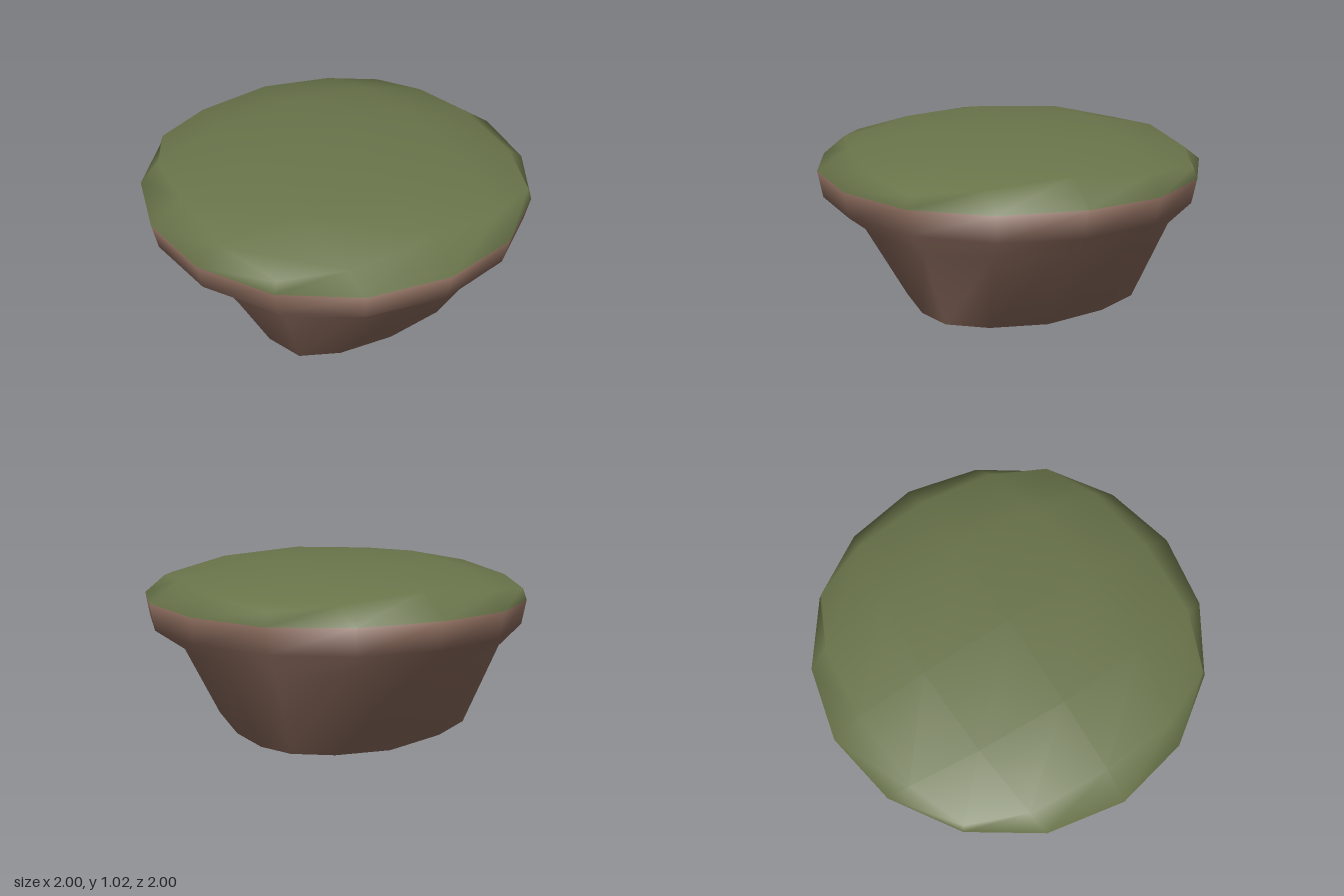
import * as THREE from 'three';

// Rings from bottom to top: r, y, square (0 = circle, 1 = rounded square), rise of y at the corners
const RINGS = [
  { r: 0.58, y: 0.1, square: 1, rise: 0.045 },
  { r: 0.82, y: 0.57, square: 0.3, rise: 0 },
  { r: 0.98, y: 0.69, square: 0, rise: 0 },
  { r: 1.0, y: 0.825, square: 0, rise: -0.012 },
  { r: 0.84, y: 0.93, square: 0.75, rise: -0.06 },
];
const RIM = 3;
const N = 16;

// Cell i of a ring on the border of a 4 x 4 grid, counter-clockwise from the front middle
function borderCell(i) {
  const side = Math.floor(((i + 2) % N) / 4);
  const k = ((i + 2) % 4) - 2;
  return [[k, 2], [2, -k], [-k, -2], [-2, k]][side];
}

// Position of a border cell: middle, quarter or corner of a side
function ringPoint({ r, y, square, rise }, [i, j]) {
  const low = Math.min(Math.abs(i), Math.abs(j));
  const minor = [0, 0.383 + 0.134 * square, 0.707 + 0.155 * square][low];
  const major = [1, 0.924 + 0.056 * square, 0.707 + 0.155 * square][low];
  const place = (c) => Math.sign(c) * r * (Math.abs(c) === 2 ? major : minor);
  return [place(i), y + rise * [0, 0.55, 1][low], place(j)];
}

export function createModel() {
  const positions = [];
  const add = (p) => positions.push(...p) / 3 - 1;
  const rings = RINGS.map((ring) =>
    Array.from({ length: N }, (_, i) => add(ringPoint(ring, borderCell(i)))));

  const quad = (out, a, b, c, d) => out.push(a, b, c, a, c, d);

  // Bands between two neighbouring rings
  function band(out, lower, upper) {
    for (let i = 0; i < N; i++) {
      const n = (i + 1) % N;
      quad(out, lower[i], lower[n], upper[n], upper[i]);
    }
  }

  // Gently domed 4 x 4 grid closing a ring
  function cap(out, ring, size, yCentre, yMid, yCorner, up) {
    const at = {};
    ring.forEach((v, i) => { at[borderCell(i)] = v; });
    for (let i = -1; i <= 1; i++) {
      for (let j = -1; j <= 1; j++) {
        const steps = Math.abs(i) + Math.abs(j);
        const s = steps === 2 ? size * 0.95 : size;
        at[[i, j]] = add([i * s, [yCentre, yMid, yCorner][steps], j * s]);
      }
    }
    for (let i = -2; i < 2; i++) {
      for (let j = -2; j < 2; j++) {
        const c = [at[[i, j]], at[[i, j + 1]], at[[i + 1, j + 1]], at[[i + 1, j]]];
        quad(out, ...(up ? c : c.reverse()));
      }
    }
  }

  const earth = [];
  const grass = [];
  cap(earth, rings[0], 0.3, 0, 0.027, 0.05, false);
  for (let k = 0; k < RINGS.length - 1; k++) {
    band(k < RIM ? earth : grass, rings[k], rings[k + 1]);
  }
  cap(grass, rings[4], 0.48, 1.02, 1.0, 0.975, true);

  // Shared smooth normals run across the seam between both parts
  const whole = new THREE.BufferGeometry();
  whole.setAttribute('position', new THREE.Float32BufferAttribute(positions, 3));
  whole.setIndex([...earth, ...grass]);
  whole.computeVertexNormals();

  const group = new THREE.Group();
  group.name = 'floatingIsland';
  function part(name, index, color) {
    const geometry = whole.clone();
    geometry.setIndex(index);
    const mesh = new THREE.Mesh(geometry, new THREE.MeshStandardMaterial({ color }));
    mesh.name = name;
    group.add(mesh);
  }
  part('earthBase', earth, 0x8a6a5c);
  part('grassTop', grass, 0x69744a);
  return group;
}
